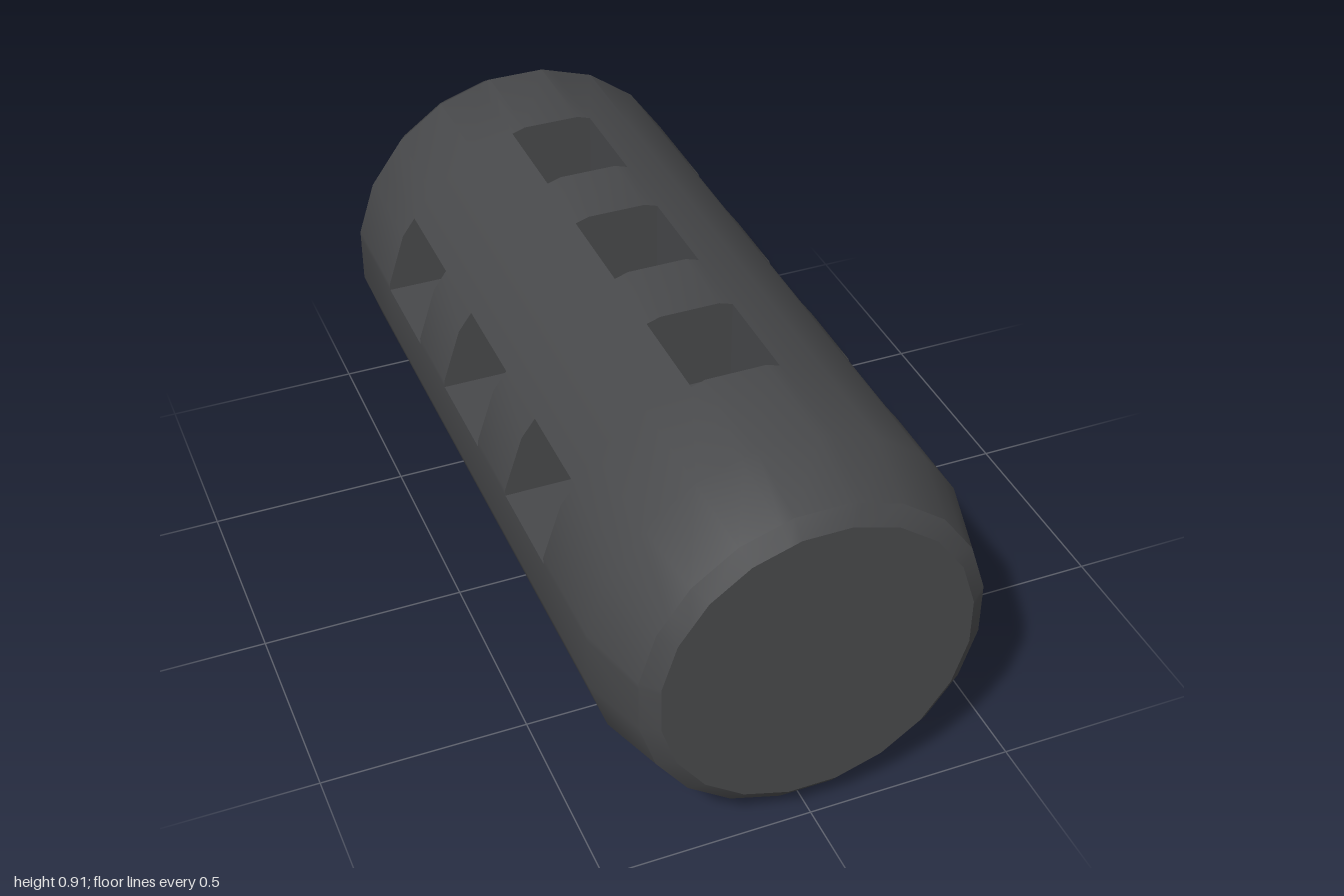
import * as THREE from 'three';
import { toCreasedNormals } from 'three/addons/utils/BufferGeometryUtils.js';

const R = 0.46, SIDES = 20, STEP = (Math.PI * 2) / SIDES;
const CENTRE_Y = R * Math.cos(STEP / 2);
const rad = THREE.MathUtils.degToRad;

// Point on the flat-topped 20-sided outline at a given angle
function rim(angle) {
  const off = angle - Math.round(angle / STEP) * STEP;
  const r = CENTRE_Y / Math.cos(off);
  return new THREE.Vector2(r * Math.cos(angle), r * Math.sin(angle));
}

// Collects triangles and turns them into a smooth mesh with sharp creases
class Surface {
  positions = [];
  tri(...points) {
    for (const p of points) this.positions.push(p.x, p.y, p.z);
  }
  quad(a, b, c, d) {
    this.tri(a, b, c);
    this.tri(a, c, d);
  }
  mesh(name, material) {
    const g = new THREE.BufferGeometry();
    g.setAttribute('position', new THREE.Float32BufferAttribute(this.positions, 3));
    const mesh = new THREE.Mesh(toCreasedNormals(g, 0.6), material);
    mesh.name = name;
    mesh.position.y = CENTRE_Y;
    return mesh;
  }
}

const at = (p, z, s = 1) => new THREE.Vector3(p.x * s, p.y * s, z);

export function createModel() {
  const group = new THREE.Group();
  group.name = 'cylinderGrip';
  const material = new THREE.MeshStandardMaterial({ color: 0x48494b });

  // Pocket rows: angle range, and the plane of the pocket floor
  const rows = [
    { name: 'topPocket', from: rad(76.68), to: rad(103.32), floor: (p) => new THREE.Vector2(p.x, 0.245) },
    { name: 'leftPocket', from: rad(6.9), to: rad(34.1), floor: (p) => new THREE.Vector2(0.245, p.y) },
    { name: 'rightPocket', from: rad(145.9), to: rad(173.1), floor: (p) => new THREE.Vector2(-0.245, p.y) },
  ];
  const spans = [[0.53, 0.275], [0.08, -0.175], [-0.37, -0.63]];

  // Outline angles: polygon corners plus the pocket edges
  const angles = rows.flatMap((r) => [r.from, r.to]);
  for (let i = 0; i < SIDES; i++) angles.push((i + 0.5) * STEP);
  angles.sort((a, b) => a - b);
  const ring = angles.map(rim);
  const n = ring.length;

  // Body skin from front to back, left open where the pockets are
  const profile = [[1, 0.37], [0.97, 0.41], [0.8, R],
    ...spans.flat().map((z) => [z, R]),
    [-0.9, R], [-0.975, 0.415], [-1, 0.37]];
  const body = new Surface();
  for (let k = 0; k < profile.length - 1; k++) {
    const [zf, rf] = profile[k], [zb, rb] = profile[k + 1];
    const inSpan = spans.some((s) => s[0] === zf);
    for (let i = 0; i < n; i++) {
      const j = (i + 1) % n;
      if (inSpan && rows.some((r) => angles[i] >= r.from && angles[i] < r.to)) continue;
      body.quad(at(ring[i], zb, rb / R), at(ring[j], zb, rb / R),
        at(ring[j], zf, rf / R), at(ring[i], zf, rf / R));
    }
  }

  // Front cap
  const capScale = 0.37 / R;
  for (let i = 0; i < n; i++) {
    body.tri(new THREE.Vector3(0, 0, 1), at(ring[i], 1, capScale), at(ring[(i + 1) % n], 1, capScale));
  }

  // Back face with a round socket opening
  const contour = ring.map((p) => p.clone().multiplyScalar(capScale));
  const hole = [];
  for (let i = 0; i < 12; i++) {
    const a = (-i * Math.PI) / 6;
    hole.push(new THREE.Vector2(0.182 * Math.cos(a), 0.182 * Math.sin(a)));
  }
  const backPoints = [...contour, ...hole];
  for (const [a, b, c] of THREE.ShapeUtils.triangulateShape(contour, [hole])) {
    body.tri(at(backPoints[c], -1), at(backPoints[b], -1), at(backPoints[a], -1));
  }
  group.add(body.mesh('body', material));

  // Socket wall and end, facing inward
  const socket = new Surface(), end = -0.4;
  hole.forEach((p, i) => {
    const q = hole[(i + 1) % hole.length];
    socket.quad(at(p, -1), at(q, -1), at(q, end), at(p, end));
    socket.tri(new THREE.Vector3(0, 0, end), at(p, end), at(q, end));
  });
  group.add(socket.mesh('backSocket', material));

  // Box-shaped pockets sunk into the skin
  for (const row of rows) {
    const outer = ring.filter((_, i) => angles[i] >= row.from && angles[i] <= row.to);
    const inner = outer.map(row.floor);
    const last = outer.length - 1;
    for (const [zf, zb] of spans) {
      const s = new Surface();
      for (let i = 0; i < last; i++) {
        const p = outer[i], q = outer[i + 1], fp = inner[i], fq = inner[i + 1];
        s.quad(at(p, zb), at(q, zb), at(fq, zb), at(fp, zb));
        s.quad(at(fp, zf), at(fq, zf), at(q, zf), at(p, zf));
        s.quad(at(fp, zb), at(fq, zb), at(fq, zf), at(fp, zf));
      }
      s.quad(at(inner[0], zb), at(inner[0], zf), at(outer[0], zf), at(outer[0], zb));
      s.quad(at(outer[last], zb), at(outer[last], zf), at(inner[last], zf), at(inner[last], zb));
      group.add(s.mesh(row.name, material));
    }
  }
  return group;
}
